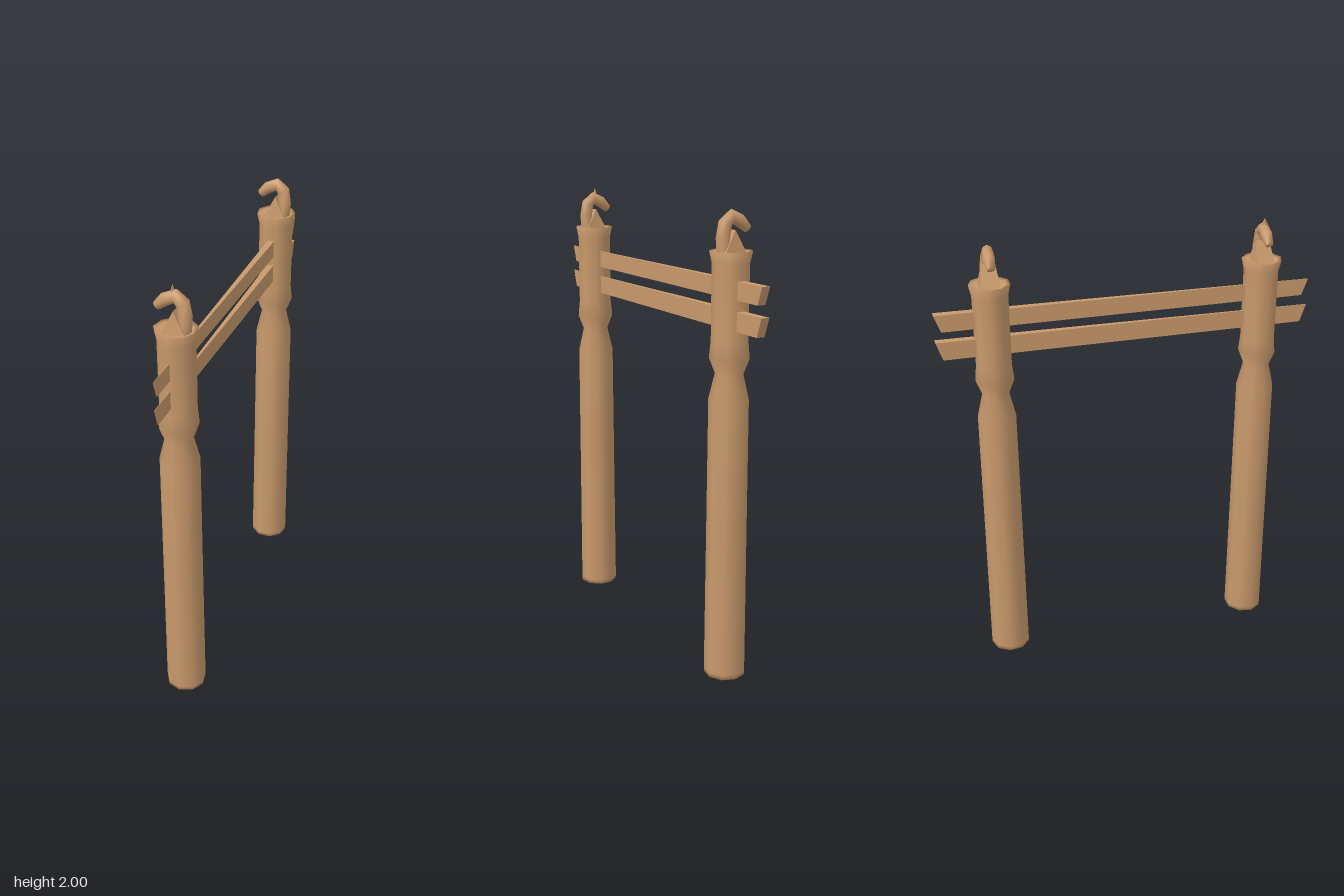
import * as THREE from 'three';

export function createModel() {
  const model = new THREE.Group();
  const wood = new THREE.MeshStandardMaterial({ color: 0xc8996b });
  wood.name = 'tanWood';

  const add = (parent, geometry, name) => {
    const mesh = new THREE.Mesh(geometry, wood);
    mesh.name = name;
    parent.add(mesh);
    return mesh;
  };

  // Turned post: straight shaft, pinched waist, flared rim with a shallow dish
  const profile = [
    [0, 0], [0.088, 0], [0.089, 0.02], [0.086, 0.7], [0.084, 1.22], [0.059, 1.325],
    [0.084, 1.39], [0.077, 1.46], [0.077, 1.77], [0.088, 1.818], [0.07, 1.812], [0, 1.8],
  ].map(([r, y]) => new THREE.Vector2(r, y));
  const postGeometry = new THREE.LatheGeometry(profile, 9);

  // Arched horse-like neck and head: elliptical rings swept along a bent path
  // Each station: x, y, half thickness in the arch plane, half width in z
  const stations = [
    [0.032, 1.795, 0.031, 0.037], [0.041, 1.87, 0.028, 0.03], [0.031, 1.926, 0.03, 0.026],
    [0.002, 1.951, 0.029, 0.024], [-0.04, 1.931, 0.027, 0.025], [-0.074, 1.9, 0.019, 0.018],
  ];
  const headGeometry = (() => {
    const sides = 8, pos = [], idx = [];
    stations.forEach(([x, y, t, w], i) => {
      const a = stations[Math.max(i - 1, 0)];
      const b = stations[Math.min(i + 1, stations.length - 1)];
      const dir = new THREE.Vector2(b[0] - a[0], b[1] - a[1]).normalize();
      for (let k = 0; k < sides; k++) {
        const q = (k / sides) * Math.PI * 2;
        const s = Math.cos(q) * t;
        pos.push(x + dir.y * s, y - dir.x * s, -Math.sin(q) * w);
      }
    });
    for (let i = 0; i < stations.length - 1; i++) {
      for (let k = 0; k < sides; k++) {
        const a = i * sides + k, b = i * sides + (k + 1) % sides;
        idx.push(a, b, b + sides, a, b + sides, a + sides);
      }
    }
    // Close the muzzle
    const last = (stations.length - 1) * sides;
    for (let k = 1; k < sides - 1; k++) idx.push(last, last + k, last + k + 1);
    const g = new THREE.BufferGeometry();
    g.setAttribute('position', new THREE.Float32BufferAttribute(pos, 3));
    g.setIndex(idx);
    g.computeVertexNormals();
    return g;
  })();

  // Triangular chest block whose sides lean inward
  const triangle = new THREE.Shape([
    new THREE.Vector2(-0.05, 1.8), new THREE.Vector2(0.058, 1.8), new THREE.Vector2(0.002, 1.9),
  ]);
  const chestGeometry = new THREE.ExtrudeGeometry(triangle, { depth: 1, bevelEnabled: false });
  const cp = chestGeometry.attributes.position;
  for (let i = 0; i < cp.count; i++) {
    const half = 0.042 - (cp.getY(i) - 1.8) * 0.13;
    cp.setZ(i, (cp.getZ(i) - 0.5) * 2 * half);
  }
  chestGeometry.computeVertexNormals();

  for (const [side, z] of [['front', 0.603], ['back', -0.588]]) {
    const post = new THREE.Group();
    post.name = side + 'Post';
    post.position.z = z;
    add(post, postGeometry, 'shaft').rotation.y = side === 'front' ? 0 : Math.PI;
    add(post, headGeometry, 'carvedHead');
    add(post, chestGeometry, 'carvedChest');
    model.add(post);
    // Only the front carving keeps its pointed ear
    if (side === 'front') {
      const ear = add(post, new THREE.ConeGeometry(0.022, 0.042, 4), 'ear');
      ear.scale.x = 0.5;
      ear.position.set(-0.008, 1.979, 0);
    }
  }

  // Two rails with slanted ends, thinning to a blade towards the front
  for (const [name, low, high] of [['upperRail', 1.63, 1.705], ['lowerRail', 1.505, 1.585]]) {
    const g = new THREE.BoxGeometry(2, 1, 1);
    g.rotateY(Math.PI / 2);
    const p = g.attributes.position;
    for (let i = 0; i < p.count; i++) {
      const top = p.getY(i) > 0;
      const z = Math.sign(p.getZ(i)) * (top ? 0.828 : 0.8);
      const half = 0.0095 - z * 0.0108;
      p.setXYZ(i, Math.sign(p.getX(i)) * half, top ? high : low, z);
    }
    g.computeVertexNormals();
    add(model, g, name);
  }

  return model;
}
